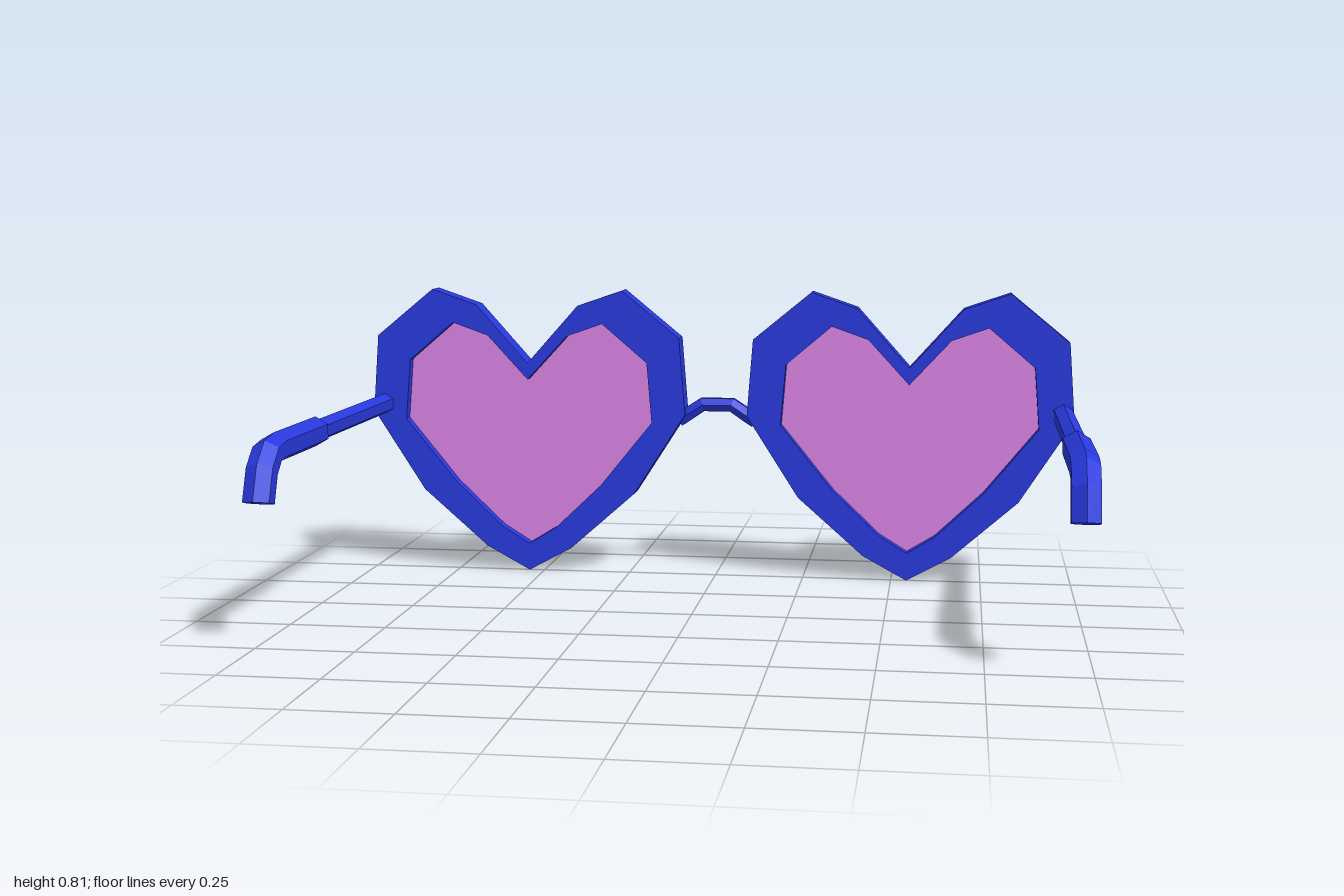
import * as THREE from 'three';

const frameBlue = new THREE.MeshStandardMaterial({ color: 0x2839de });
frameBlue.name = 'frame blue';
const lensPink = new THREE.MeshStandardMaterial({ color: 0xdb84e6 });
lensPink.name = 'lens pink';

// Right half of each heart, from the tip up to the notch
const OUTER = [[0, 0], [0.123, 0.067], [0.308, 0.23], [0.455, 0.46], [0.438, 0.677], [0.275, 0.811], [0.147, 0.767], [0, 0.602]];
const INNER = [[0, 0.078], [0.078, 0.126], [0.211, 0.253], [0.359, 0.436], [0.345, 0.607], [0.217, 0.716], [0.115, 0.68], [0, 0.555]];

function heartPoints(half) {
  const mirrored = half.slice(1, -1).reverse().map(([x, y]) => [-x, y]);
  return [...half, ...mirrored].map(([x, y]) => new THREE.Vector2(x, y));
}

function plate(shape, zBack, zFront) {
  const g = new THREE.ExtrudeGeometry(shape, { depth: zFront - zBack, bevelEnabled: false });
  return g.translate(0, 0, zBack);
}

// Closed six-sided bar through sections of { c: centre, u: half height vector, s: half width vector }
function hexBar(sections, phase = 0) {
  const pos = [];
  const rings = sections.map(({ c, u, s }) => Array.from({ length: 6 }, (_, k) => {
    const a = phase + k * Math.PI / 3;
    return c.clone().addScaledVector(u, Math.cos(a)).addScaledVector(s, Math.sin(a));
  }));
  const tri = (...pts) => pts.forEach((p) => pos.push(p.x, p.y, p.z));
  const last = rings.length - 1;
  for (let k = 0; k < 6; k++) {
    const n = (k + 1) % 6;
    for (let i = 0; i < last; i++) {
      tri(rings[i][k], rings[i][n], rings[i + 1][n]);
      tri(rings[i][k], rings[i + 1][n], rings[i + 1][k]);
    }
    tri(sections[0].c, rings[0][n], rings[0][k]);
    tri(sections[last].c, rings[last][k], rings[last][n]);
  }
  const g = new THREE.BufferGeometry();
  g.setAttribute('position', new THREE.Float32BufferAttribute(pos, 3));
  g.computeVertexNormals();
  return g;
}

// Side-profile sections: upper and lower edge as [z, y]
function templeSections(edges, radius) {
  return edges.map(([zt, yt, zb, yb]) => ({
    c: new THREE.Vector3(0, (yt + yb) / 2, (zt + zb) / 2),
    u: new THREE.Vector3(0, (yt - yb) / 2, (zt - zb) / 2),
    s: new THREE.Vector3(-radius, 0, 0),
  }));
}

export function createModel() {
  const group = new THREE.Group();
  group.name = 'heartGlasses';
  const add = (geometry, material, name, x = 0) => {
    const mesh = new THREE.Mesh(geometry, material);
    mesh.name = name;
    mesh.position.x = x;
    group.add(mesh);
  };

  // Heart rims and lenses, the lenses set almost flush with the far side
  const rimShape = new THREE.Shape(heartPoints(OUTER));
  rimShape.holes.push(new THREE.Path(heartPoints(INNER)));
  const rim = plate(rimShape, -0.569, -0.497);
  const lens = plate(new THREE.Shape(heartPoints(INNER)), -0.566, -0.53);

  // Straight arm, then the thicker ear piece with its hooked end
  const arm = hexBar(templeSections([
    [-0.51, 0.508, -0.51, 0.45],
    [0.12, 0.508, 0.12, 0.45],
  ], 0.029));
  const earPiece = hexBar(templeSections([
    [0.108, 0.518, 0.108, 0.441],
    [0.414, 0.518, 0.414, 0.441],
    [0.478, 0.507, 0.446, 0.438],
    [0.533, 0.458, 0.469, 0.416],
    [0.569, 0.373, 0.493, 0.354],
  ], 0.0385));

  for (const [side, label] of [[1, 'left'], [-1, 'right']]) {
    add(rim, frameBlue, label + 'Rim', side * 0.543);
    add(lens, lensPink, label + 'Lens', side * 0.543);
    add(arm, frameBlue, label + 'TempleArm', side * 0.9665);
    add(earPiece, frameBlue, label + 'EarPiece', side * 0.9665);
  }

  // Arched bridge between the rims
  const bridge = [[-0.11, 0.442], [-0.09, 0.455], [-0.042, 0.487], [0.042, 0.487], [0.09, 0.455], [0.11, 0.442]];
  add(hexBar(bridge.map(([x, y]) => {
    const lean = Math.abs(x) > 0.05 ? Math.sign(x) * 0.55 : Math.sign(x) * 0.27;
    return {
      c: new THREE.Vector3(x, y, -0.538),
      u: new THREE.Vector3(Math.sin(lean), Math.cos(lean), 0).multiplyScalar(0.022),
      s: new THREE.Vector3(0, 0, 0.022),
    };
  }), Math.PI / 6), frameBlue, 'bridge');

  return group;
}
